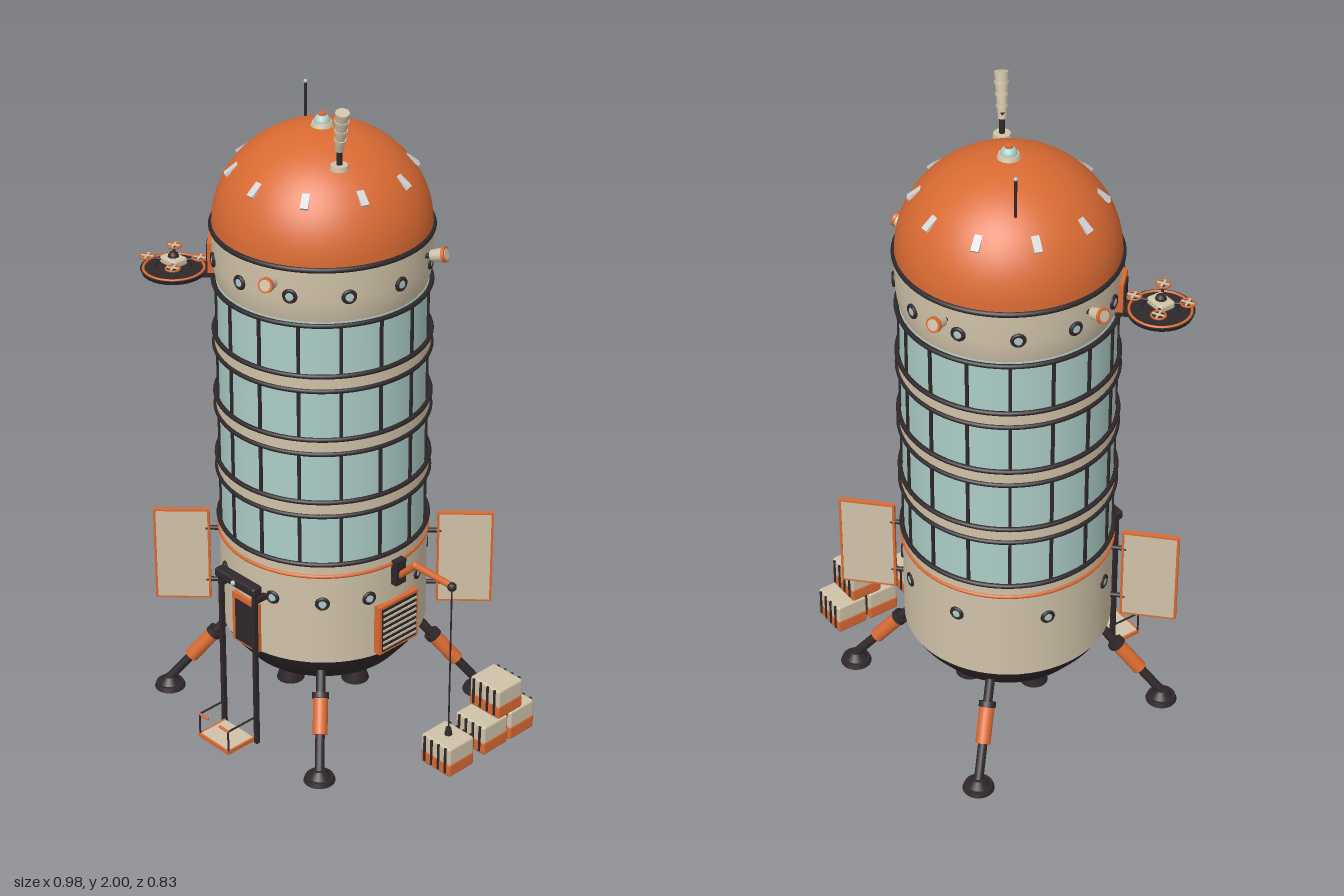
import * as THREE from 'three';
import { RoundedBoxGeometry } from 'three/addons/geometries/RoundedBoxGeometry.js';

const material = (name, color, side = THREE.FrontSide) => {
  const m = new THREE.MeshStandardMaterial({ color, side });
  m.name = name;
  return m;
};
const orange = material('orange paint', 0xd96a32);
const cream = material('cream paint', 0xd0c2a8);
const dark = material('dark metal', 0x2f282a);
const glass = material('window glass', 0xaccdc7);
const silver = material('silver tick', 0xd2d4d6);

const R = 0.307;
const rad = THREE.MathUtils.degToRad;
const V = (x, y, z) => new THREE.Vector3(x, y, z);

function add(parent, name, geo, mat, x = 0, y = 0, z = 0) {
  const m = new THREE.Mesh(geo, mat);
  m.name = name;
  m.position.set(x, y, z);
  parent.add(m);
  return m;
}
const box = (p, name, mat, w, h, d, x, y, z) => add(p, name, new THREE.BoxGeometry(w, h, d), mat, x, y, z);
const cyl = (p, name, mat, r1, r2, h, x, y, z, n = 24) =>
  add(p, name, new THREE.CylinderGeometry(r1, r2, h, n), mat, x, y, z);
const lathe = (p, name, mat, pts, n = 64) =>
  add(p, name, new THREE.LatheGeometry(pts.map(q => new THREE.Vector2(q[0], q[1])), n), mat);

// cylinder from a to b
function rod(p, name, mat, a, b, r1, r2 = r1, n = 14) {
  const d = b.clone().sub(a), mid = a.clone().add(b).multiplyScalar(0.5);
  const m = cyl(p, name, mat, r2, r1, d.length(), mid.x, mid.y, mid.z, n);
  m.quaternion.setFromUnitVectors(V(0, 1, 0), d.normalize());
  return m;
}
// group on the wall at an azimuth from the front, its +z pointing outward
function mount(p, name, deg, r, y) {
  const g = new THREE.Group(), a = rad(deg);
  g.name = name;
  g.position.set(Math.sin(a) * r, y, Math.cos(a) * r);
  g.rotation.y = a;
  p.add(g);
  return g;
}
function ring(p, name, mat, r, y, tube = 0.007) {
  add(p, name, new THREE.TorusGeometry(r, tube, 8, 64), mat, 0, y, 0).rotation.x = Math.PI / 2;
}
function porthole(p, deg, r, y) {
  const g = mount(p, 'porthole', deg, r, y);
  add(g, 'portholeRim', new THREE.TorusGeometry(0.016, 0.006, 8, 20), dark);
  cyl(g, 'portholeGlass', glass, 0.015, 0.015, 0.008, 0, 0, 0).rotation.x = Math.PI / 2;
}
function crate(p, x, y, z) {
  const g = new THREE.Group();
  g.name = 'crate';
  g.position.set(x, y, z);
  p.add(g);
  add(g, 'crateBase', new RoundedBoxGeometry(0.12, 0.046, 0.104, 2, 0.008), orange, 0, 0.023, 0);
  add(g, 'crateLid', new RoundedBoxGeometry(0.118, 0.062, 0.102, 2, 0.008), cream, 0, 0.068, 0);
  for (const s of [-1, 1]) for (let i = 0; i < 4; i++)
    box(g, 'crateStrap', dark, 0.007, 0.086, 0.006, -0.042 + i * 0.028, 0.054, s * 0.052);
}

export function createModel() {
  const model = new THREE.Group();
  model.name = 'towerHabitat';
  const t = new THREE.Group();
  t.name = 'tower';
  t.position.set(-0.1, 0, -0.04);
  model.add(t);

  // hull, from engine deck to dome
  lathe(t, 'engineDeck', dark, [[0, 0.185], [0.205, 0.185], [0.24, 0.205], [0.285, 0.26], [0.309, 0.3]]);
  lathe(t, 'lowerHull', cream, [[R, 0.298], [R, 0.632]]);
  ring(t, 'orangeBand', orange, R, 0.595, 0.006);
  cyl(t, 'glassWall', glass, 0.301, 0.301, 0.78, 0, 1.02, 0, 64);
  lathe(t, 'upperHull', cream, [[0.297, 1.402], [0.306, 1.435], [0.311, 1.48], [0.311, 1.57]]);
  for (const y of [0.82, 1.023, 1.223]) {
    cyl(t, 'floorBand', cream, 0.308, 0.308, 0.045, 0, y, 0, 64);
    for (const s of [-1, 1]) ring(t, 'floorRing', dark, 0.309, y + s * 0.023);
  }
  ring(t, 'lowerRing', dark, 0.308, 0.635);
  ring(t, 'upperRing', dark, 0.308, 1.402);
  ring(t, 'domeRing', dark, 0.311, 1.572, 0.008);
  for (let i = 0; i < 16; i++)
    box(mount(t, 'mullion', 11.25 + i * 22.5, 0.302, 1.02), 'mullionBar', dark, 0.009, 0.77, 0.01, 0, 0, 0);
  const dome = [];
  for (let i = 0; i <= 20; i++) {
    const a = rad(i * 4.5);
    dome.push([i === 20 ? 0 : 0.31 * Math.cos(a), 1.575 + 0.29 * Math.sin(a)]);
  }
  lathe(t, 'dome', orange, dome);
  for (let i = 0; i < 10; i++)
    box(mount(t, 'domeTick', i * 36, 0.251, 1.746), 'domeTickPlate', silver, 0.022, 0.046, 0.009, 0, 0, 0)
      .rotation.x = rad(-52);

  // cap and antennas on the dome
  cyl(t, 'capCollar', cream, 0.028, 0.034, 0.016, 0, 1.867, 0);
  add(t, 'capLamp', new THREE.SphereGeometry(0.024, 20, 12), glass, 0, 1.873, 0);
  cyl(t, 'capTip', orange, 0.011, 0.011, 0.006, 0, 1.897, 0);
  rod(t, 'whipAntenna', dark, V(-0.168, 1.78, -0.095), V(-0.168, 1.915, -0.095), 0.004);
  add(t, 'whipTip', new THREE.SphereGeometry(0.006, 10, 8), glass, -0.168, 1.915, -0.095);
  cyl(t, 'dishFoot', cream, 0.024, 0.026, 0.014, 0.162, 1.818, 0.09);
  rod(t, 'dishPost', dark, V(0.162, 1.81, 0.09), V(0.164, 1.89, 0.092), 0.008);
  rod(t, 'dishBody', cream, V(0.164, 1.868, 0.092), V(0.197, 1.992, 0.112), 0.012, 0.02, 10);
  for (const k of [0.25, 0.5, 0.75])
    rod(t, 'dishRib', cream, V(0.164 + 0.033 * k, 1.868 + 0.124 * k, 0.092 + 0.02 * k),
      V(0.166 + 0.033 * k, 1.875 + 0.124 * k, 0.093 + 0.02 * k), 0.015 + 0.008 * k, 0.015 + 0.008 * k, 10);

  // portholes
  for (let i = 0; i < 12; i++) porthole(t, i * 30, 0.312, 1.49);
  for (const a of [18, 46, 72, 110, 144, 169, 207, 257, 300, 338]) porthole(t, a, R, 0.503);

  // wall lamps
  for (const a of [22, 113, 203, 278]) {
    const g = mount(t, 'wallLamp', a, 0.31, 1.525);
    g.rotation.order = 'YXZ';
    g.rotation.x = rad(-15);
    rod(g, 'lampStem', dark, V(0, 0, -0.01), V(0, 0, 0.022), 0.007);
    rod(g, 'lampBody', cream, V(0, 0, 0.018), V(0, 0, 0.056), 0.016, 0.02, 18);
    rod(g, 'lampRim', orange, V(0, 0, 0.054), V(0, 0, 0.063), 0.022, 0.022, 18);
    rod(g, 'lampLens', cream, V(0, 0, 0.06), V(0, 0, 0.065), 0.016, 0.016, 18);
  }

  // landing pad with its hatch and drone
  const pad = mount(t, 'landingPad', -45, 0.419, 1.42);
  cyl(pad, 'padDeck', dark, 0.095, 0.09, 0.012, 0, 0, 0, 32);
  ring(pad, 'padRing', orange, 0.086, 0.006, 0.004);
  box(pad, 'padBracket', dark, 0.06, 0.014, 0.06, 0, -0.004, -0.1);
  box(pad, 'hatchFrame', orange, 0.085, 0.09, 0.03, 0, 0.055, -0.113);
  box(pad, 'hatchPanel', dark, 0.055, 0.065, 0.008, 0, 0.052, -0.098);
  const drone = new THREE.Group();
  drone.name = 'drone';
  drone.rotation.y = rad(45);
  pad.add(drone);
  add(drone, 'droneBody', new RoundedBoxGeometry(0.066, 0.024, 0.052, 2, 0.008), cream, 0, 0.028, 0);
  add(drone, 'droneEye', new THREE.SphereGeometry(0.016, 14, 10), dark, 0, 0.04, 0);
  for (const sx of [-1, 1]) for (const sz of [-1, 1]) {
    const x = sx * 0.055, z = sz * 0.05;
    rod(drone, 'droneArm', dark, V(0, 0.028, 0), V(x, 0.034, z), 0.004);
    rod(drone, 'droneFoot', dark, V(x * 0.6, 0.024, z * 0.6), V(x * 0.7, 0.005, z * 0.7), 0.003);
    add(drone, 'rotorGuard', new THREE.TorusGeometry(0.02, 0.003, 6, 20), orange, x, 0.038, z).rotation.x = Math.PI / 2;
    for (const a of [30, 120]) box(drone, 'rotorBlade', cream, 0.036, 0.003, 0.006, x, 0.04, z).rotation.y = rad(a);
  }

  // legs
  for (const sx of [-1, 1]) for (const sz of [-1, 1]) {
    const at = (c, y) => V(sx * c, y, sz * c);
    const foot = at(0.333, 0.03), top = at(0.2, 0.255);
    const along = k => foot.clone().lerp(top, k);
    rod(t, 'legStrut', dark, foot, top, 0.014);
    rod(t, 'legSleeve', orange, along(0.36), along(0.74), 0.022, 0.022, 18);
    rod(t, 'legCollar', dark, along(0.72), along(0.78), 0.025, 0.025, 18);
    cyl(t, 'footPad', dark, 0.042, 0.047, 0.014, sx * 0.333, 0.007, sz * 0.333);
    cyl(t, 'footCone', dark, 0.017, 0.034, 0.022, sx * 0.333, 0.024, sz * 0.333);
  }

  // engine bells
  for (const [x, z] of [[0, 0], [0.137, 0], [-0.137, 0], [0, 0.137], [0, -0.137]]) {
    const bell = lathe(t, 'engineBell', dark, [[0, 0.135], [0.034, 0.11], [0.042, 0.106], [0.028, 0.15], [0.02, 0.19]], 24);
    bell.position.set(x, 0, z);
  }

  // radial side panels
  for (const a of [-45, 135]) {
    const g = mount(t, 'sidePanel', a, 0.42, 0.478);
    box(g, 'panelSheet', cream, 0.012, 0.3, 0.155, 0, 0, 0);
    for (const s of [-1, 1]) {
      box(g, 'panelEdge', orange, 0.015, 0.305, 0.007, 0, 0, s * 0.08);
      box(g, 'panelRim', orange, 0.015, 0.005, 0.16, 0, s * 0.151, 0);
      rod(g, 'panelArm', dark, V(0, s * 0.09, -0.12), V(0, s * 0.09, -0.07), 0.007);
    }
  }

  // front door and lift
  box(t, 'doorFrame', orange, 0.108, 0.165, 0.03, 0, 0.382, 0.302);
  box(t, 'doorPanel', dark, 0.078, 0.14, 0.008, 0, 0.378, 0.316);
  add(t, 'liftHead', new RoundedBoxGeometry(0.172, 0.03, 0.036, 2, 0.008), dark, 0, 0.535, 0.34);
  add(t, 'liftLamp', new THREE.SphereGeometry(0.008, 10, 8), glass, 0, 0.537, 0.36);
  for (const s of [-1, 1]) {
    box(t, 'liftPost', dark, 0.013, 0.53, 0.013, s * 0.072, 0.265, 0.342);
    box(t, 'liftBracket', dark, 0.016, 0.016, 0.05, s * 0.072, 0.5, 0.318);
    rod(t, 'liftSideRail', dark, V(s * 0.063, 0.086, 0.345), V(s * 0.063, 0.086, 0.447), 0.003);
    rod(t, 'liftCorner', dark, V(s * 0.063, 0.01, 0.447), V(s * 0.063, 0.086, 0.447), 0.003);
    rod(t, 'liftFrontRail', orange, V(s * 0.065, 0.086, 0.447), V(s * 0.025, 0.086, 0.447), 0.004);
    box(t, 'liftFloorEdge', orange, 0.006, 0.012, 0.104, s * 0.064, 0.012, 0.398);
  }
  box(t, 'liftFloor', cream, 0.126, 0.01, 0.1, 0, 0.012, 0.398);
  box(t, 'liftFloorFront', orange, 0.13, 0.012, 0.006, 0, 0.012, 0.449);

  // louvred vent under the crane
  const vent = mount(t, 'vent', 90, 0.305, 0.39);
  box(vent, 'ventFrame', orange, 0.156, 0.162, 0.03, 0, 0, 0);
  box(vent, 'ventRecess', dark, 0.138, 0.144, 0.006, 0, 0, 0.015);
  for (let i = 0; i < 7; i++)
    box(vent, 'ventSlat', cream, 0.134, 0.007, 0.008, 0, -0.06 + i * 0.02, 0.017);

  // crane
  box(t, 'craneMount', dark, 0.03, 0.08, 0.04, 0.312, 0.565, 0);
  rod(t, 'craneBrace', orange, V(0.318, 0.55, 0), V(0.385, 0.615, 0), 0.01);
  rod(t, 'craneArm', orange, V(0.38, 0.615, 0), V(0.53, 0.613, 0), 0.01);
  add(t, 'craneElbow', new THREE.SphereGeometry(0.012, 12, 8), orange, 0.383, 0.615, 0);
  add(t, 'cranePulley', new THREE.SphereGeometry(0.014, 12, 8), dark, 0.53, 0.61, 0);
  rod(t, 'craneCable', dark, V(0.53, 0.61, 0), V(0.53, 0.1, 0), 0.0025, 0.0025, 6);
  cyl(t, 'craneHook', dark, 0.008, 0.012, 0.025, 0.53, 0.11, 0, 12);

  // cargo crates
  crate(model, 0.431, 0, -0.036);
  crate(model, 0.425, 0, -0.187);
  crate(model, 0.425, 0, -0.3);
  crate(model, 0.425, 0.1, -0.246);
  return model;
}
